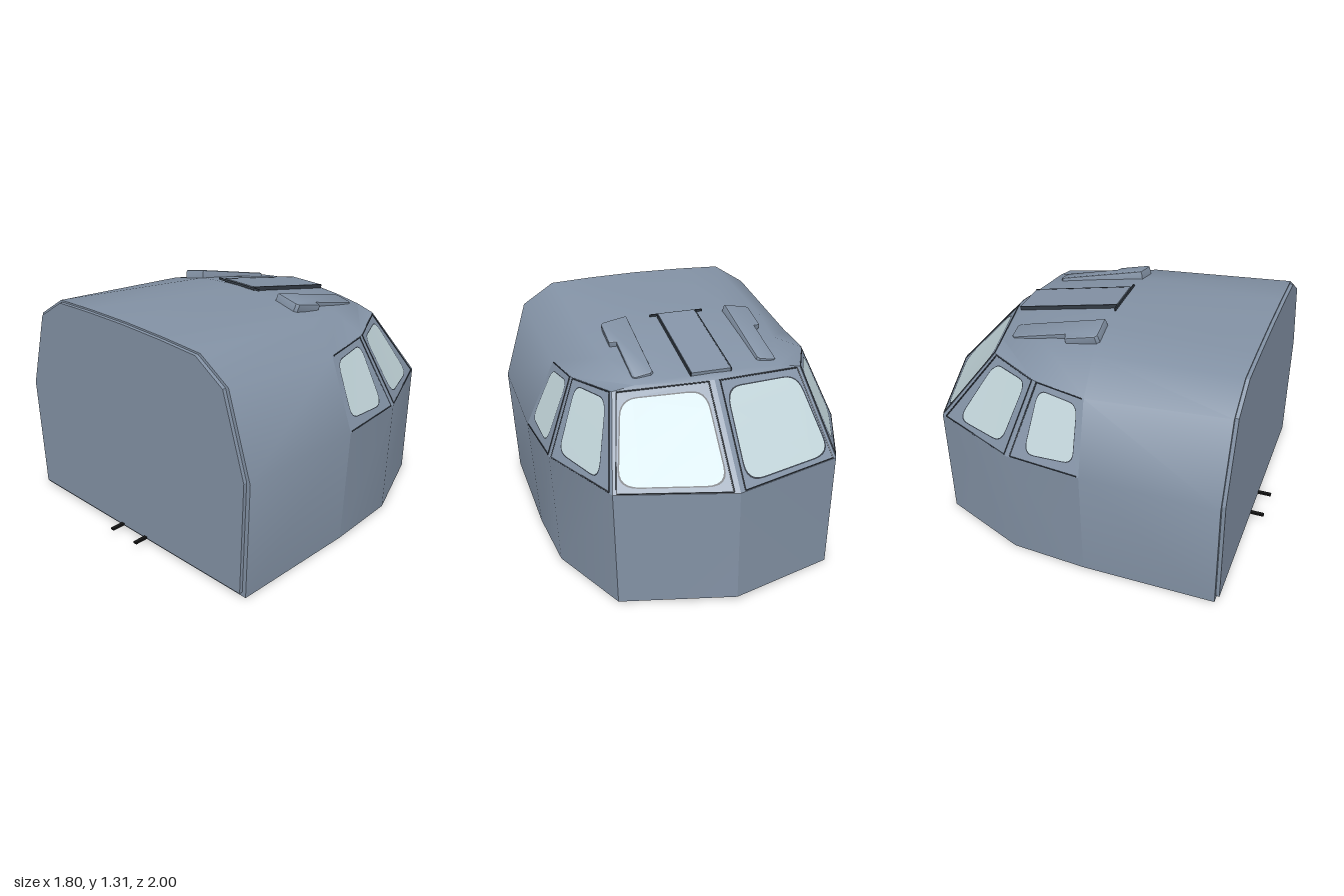
import * as THREE from 'three';
import { mergeGeometries, toCreasedNormals } from 'three/addons/utils/BufferGeometryUtils.js';

const V = (x, y, z) => new THREE.Vector3(x, y, z);
const paint = (name, color) => Object.assign(new THREE.MeshStandardMaterial({ color }), { name });

// Half cross-sections from tail to nose: base, sill, window top, shoulder, roof, centreline
const noseTop = V(0, 1.14, -0.59);
const columns = [
  [V(0.86, 0, 0.9), V(0.892, 0.68, 0.9), V(0.75, 1.15, 0.9), V(0.56, 1.272, 0.9), V(0.3, 1.283, 0.9), V(0, 1.288, 0.9)],
  [V(0.86, 0, 0.13), V(0.9, 0.68, 0.13), V(0.73, 1.07, 0.1), V(0.54, 1.215, 0.08), V(0.3, 1.265, 0.06), V(0, 1.285, 0.06)],
  [V(0.83, 0, -0.31), V(0.86, 0.68, -0.31), V(0.69, 1.09, -0.2), V(0.5, 1.18, -0.2), V(0.28, 1.217, -0.2), V(0, 1.23, -0.2)],
  [V(0.62, 0, -0.81), V(0.635, 0.68, -0.82), V(0.54, 1.11, -0.5), V(0.42, 1.135, -0.51), V(0.25, 1.152, -0.525), V(0, 1.16, -0.53)],
  [V(0, 0.02, -1), V(0, 0.675, -1), noseTop, noseTop, noseTop, noseTop],
];

// Skin stretched over a grid of points; u runs along the columns, v up each one
function skin(cols) {
  const out = [];
  const tri = (a, b, c) => {
    const area = b.clone().sub(a).cross(c.clone().sub(a)).length();
    if (area > 1e-6) for (const p of [a, b, c]) out.push(p.x, p.y, p.z);
  };
  for (let i = 0; i + 1 < cols.length; i++) {
    for (let j = 0; j + 1 < cols[i].length; j++) {
      const a = cols[i][j], b = cols[i + 1][j], c = cols[i + 1][j + 1], d = cols[i][j + 1];
      tri(a, b, c);
      tri(a, c, d);
    }
  }
  const g = new THREE.BufferGeometry();
  g.setAttribute('position', new THREE.Float32BufferAttribute(out, 3));
  return g;
}

// Position-only, non-indexed copy, optionally mirrored to the other side
function bare(geo, mirror = false) {
  const src = geo.index ? geo.toNonIndexed() : geo;
  const p = src.attributes.position, out = [];
  for (let i = 0; i < p.count; i++) {
    const k = mirror ? i - (i % 3) + 2 - (i % 3) : i;
    out.push(mirror ? -p.getX(k) : p.getX(k), p.getY(k), p.getZ(k));
  }
  const g = new THREE.BufferGeometry();
  g.setAttribute('position', new THREE.Float32BufferAttribute(out, 3));
  return g;
}

// Rounded four-cornered outline, optionally grown about its centre
function roundedOutline(corners, grow = 1, round = 0.2) {
  const pts = corners.map(c => new THREE.Vector2(...c));
  const mid = pts.reduce((s, p) => s.add(p), new THREE.Vector2()).divideScalar(pts.length);
  pts.forEach(p => p.sub(mid).multiplyScalar(grow).add(mid));
  const s = new THREE.Shape();
  pts.forEach((p, i) => {
    const a = p.clone().lerp(pts[(i + pts.length - 1) % pts.length], round);
    const b = p.clone().lerp(pts[(i + 1) % pts.length], round);
    if (i) s.lineTo(a.x, a.y); else s.moveTo(a.x, a.y);
    s.quadraticCurveTo(p.x, p.y, b.x, b.y);
  });
  return s.getPoints(6);
}

// Thin round strip between two points
function strip(a, b, r = 0.004) {
  const g = new THREE.CylinderGeometry(r, r, a.distanceTo(b), 6);
  const q = new THREE.Quaternion().setFromUnitVectors(V(0, 1, 0), b.clone().sub(a).normalize());
  const m = a.clone().add(b).multiplyScalar(0.5);
  return g.applyQuaternion(q).translate(m.x, m.y, m.z);
}

export function createModel() {
  const model = new THREE.Group();
  model.name = 'cockpitSection';
  const body = paint('bodyGrey', 0x8392a5);
  const glass = paint('paleGlass', 0xc2d5da);
  const dark = paint('darkSeal', 0x333b45);
  const black = paint('black', 0x151515);

  const add = (name, geo, mat) => {
    const mesh = new THREE.Mesh(geo, mat);
    mesh.name = name;
    model.add(mesh);
    return mesh;
  };
  // Both sides of a part in one mesh
  const addPair = (name, parts, mat, crease = 0.5) => {
    const all = parts.flatMap(g => [bare(g), bare(g, true)]);
    return add(name, toCreasedNormals(mergeGeometries(all), crease), mat);
  };

  // Fuselage shell, roof and lower nose walls
  addPair('fuselageAndRoof', [
    skin(columns.slice(0, 2)),
    skin(columns.slice(1).map(c => c.slice(2))),
  ], body, 0.9);
  addPair('lowerNoseWalls', [skin(columns.slice(1).map(c => c.slice(0, 2)))], body, 0.4);
  addPair('underside', [skin(columns.map(c => [V(0, c[0].y, c[0].z), c[0]]))], black);

  // Rear bulkhead with a slightly inset plate
  const rearHalf = columns[0].map(p => new THREE.Vector2(p.x, p.y));
  const rear = [...rearHalf, ...rearHalf.slice(0, -1).reverse().map(p => new THREE.Vector2(-p.x, p.y))];
  add('rearRim', new THREE.ShapeGeometry(new THREE.Shape(rear)).translate(0, 0, 0.9), body);
  const inset = rear.map(p => new THREE.Vector2(p.x * 0.973, 0.025 + p.y * 0.973));
  add('rearBulkhead', new THREE.ExtrudeGeometry(new THREE.Shape(inset), { depth: 0.02, bevelEnabled: false })
    .translate(0, 0, 0.9), body);

  // Window panels: frame, seal and glass drawn in panel coordinates, then laid on the panel
  const panels = [
    ['rearSideWindow', [[0.1, 0.16], [0.77, 0.1], [0.85, 0.91], [0.12, 0.89]]],
    ['frontSideWindow', [[0.13, 0.12], [0.78, 0.08], [0.85, 0.9], [0.15, 0.92]]],
    ['windshield', [[0.05, 0.07], [0.91, 0.07], [0.89, 0.91], [0.08, 0.91]]],
  ];
  const seams = [];
  panels.forEach(([name, corners], i) => {
    const [, s0, t0] = columns[i + 1], [, s1, t1] = columns[i + 2];
    const at = (u, v) => s0.clone().lerp(s1, u).lerp(t0.clone().lerp(t1, u), v);
    const lay = shape => {
      const g = new THREE.ShapeGeometry(shape), p = g.attributes.position;
      for (let k = 0; k < p.count; k++) p.setXYZ(k, ...at(p.getX(k), p.getY(k)).toArray());
      return g;
    };
    const pane = roundedOutline(corners), edge = roundedOutline(corners, 1.03);
    const square = [[0, 0], [1, 0], [1, 1], [0, 1]].map(c => new THREE.Vector2(...c));
    const frame = new THREE.Shape(square), seal = new THREE.Shape(edge);
    frame.holes.push(new THREE.Path(edge));
    seal.holes.push(new THREE.Path(pane));
    addPair(name + 'Frames', [lay(frame)], body, 0.3);
    addPair(name + 'Seals', [lay(seal)], dark, 0.3);
    addPair(name + 'Glass', [lay(new THREE.Shape(pane))], glass, 0.3);
    // Panel joints
    seams.push(strip(at(0.03, 0.01), at(0.95, 0.01)), strip(at(0.04, 0.99), at(0.95, 0.99)));
    seams.push(strip(at(0.95, 0.01), at(0.94, 0.99)));
    if (i) seams.push(strip(at(0.03, 0.01), at(0.04, 0.99), 0.003));
  });
  addPair('windowJoints', seams, dark, 1.2);

  // Sloping roof hatch with dark joints
  const hatch = new THREE.Group();
  hatch.name = 'roofHatch';
  hatch.position.set(0, 1.228, -0.24);
  hatch.rotation.x = -Math.atan(0.2115);
  const hatchPart = (name, w, h, d, x, z, mat) => {
    const m = new THREE.Mesh(new THREE.BoxGeometry(w, h, d), mat);
    m.name = name;
    m.position.set(x, 0, z);
    hatch.add(m);
  };
  hatchPart('hatchPanel', 0.22, 0.02, 0.61, 0, 0, body);
  for (const s of [-1, 1]) hatchPart('hatchSideJoint', 0.008, 0.022, 0.61, s * 0.113, 0, dark);
  hatchPart('hatchRearJoint', 0.32, 0.012, 0.008, 0, 0.31, dark);
  model.add(hatch);

  // Raised stepped fairings either side of the hatch
  const fairing = new THREE.Shape([
    [-0.07, -0.06], [-0.07, 0.455], [-0.06, 0.465], [0.02, 0.465], [0.03, 0.455],
    [0.03, 0.13], [0.07, 0.12], [0.07, -0.05], [0.06, -0.06],
  ].map(c => new THREE.Vector2(...c)));
  const bar = new THREE.ExtrudeGeometry(fairing, {
    depth: 0.05, bevelThickness: 0.012, bevelSize: 0.008, bevelSegments: 2,
  });
  bar.rotateX(-Math.PI / 2).translate(0, -0.05, 0).rotateZ(-0.2).rotateX(-0.255).translate(0.375, 1.268, 0.0);
  addPair('roofFairings', [bar], body, 0.6);

  // Tail pins
  addPair('tailPins', [new THREE.BoxGeometry(0.022, 0.012, 0.09).translate(0.1, 0.03, 0.955)], black);
  return model;
}
